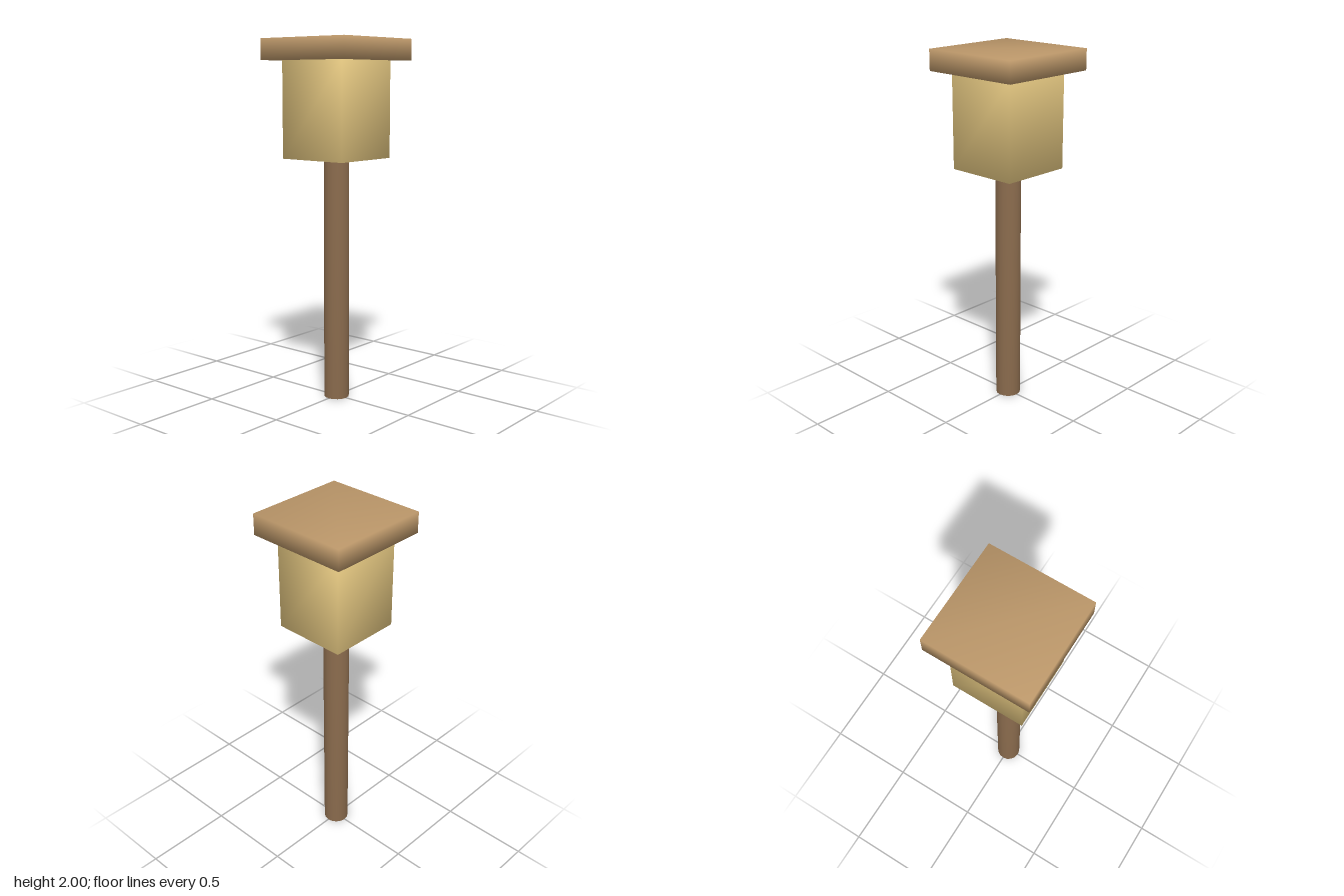
import * as THREE from 'three';
import { mergeVertices } from 'three/addons/utils/BufferGeometryUtils.js';

// Weld corners so shading runs smoothly across the edges
function soften(geometry) {
  geometry.deleteAttribute('uv');
  geometry.deleteAttribute('normal');
  const welded = mergeVertices(geometry, 1e-4);
  welded.computeVertexNormals();
  return welded;
}

function material(name, color) {
  const m = new THREE.MeshStandardMaterial({ color });
  m.name = name;
  return m;
}

export function createModel() {
  const group = new THREE.Group();
  group.name = 'postLantern';

  // Adds a part standing between two heights
  const add = (name, geometry, mat, bottom, top) => {
    const mesh = new THREE.Mesh(soften(geometry), mat);
    mesh.name = name;
    mesh.position.y = (bottom + top) / 2;
    group.add(mesh);
  };

  const POST_TOP = 1.355, BODY_TOP = 1.885, TOP = 2;

  // Round wooden post
  add('post', new THREE.CylinderGeometry(0.07, 0.07, POST_TOP, 16),
    material('dark wood', 0x8a6b4d), 0, POST_TOP);

  // Square lantern body
  add('lanternBody', new THREE.BoxGeometry(0.415, BODY_TOP - POST_TOP, 0.415),
    material('pale yellow', 0xdcc07c), POST_TOP, BODY_TOP);

  // Flat overhanging cap
  add('cap', new THREE.BoxGeometry(0.578, TOP - BODY_TOP, 0.578),
    material('light wood', 0xb99568), BODY_TOP, TOP);

  return group;
}
